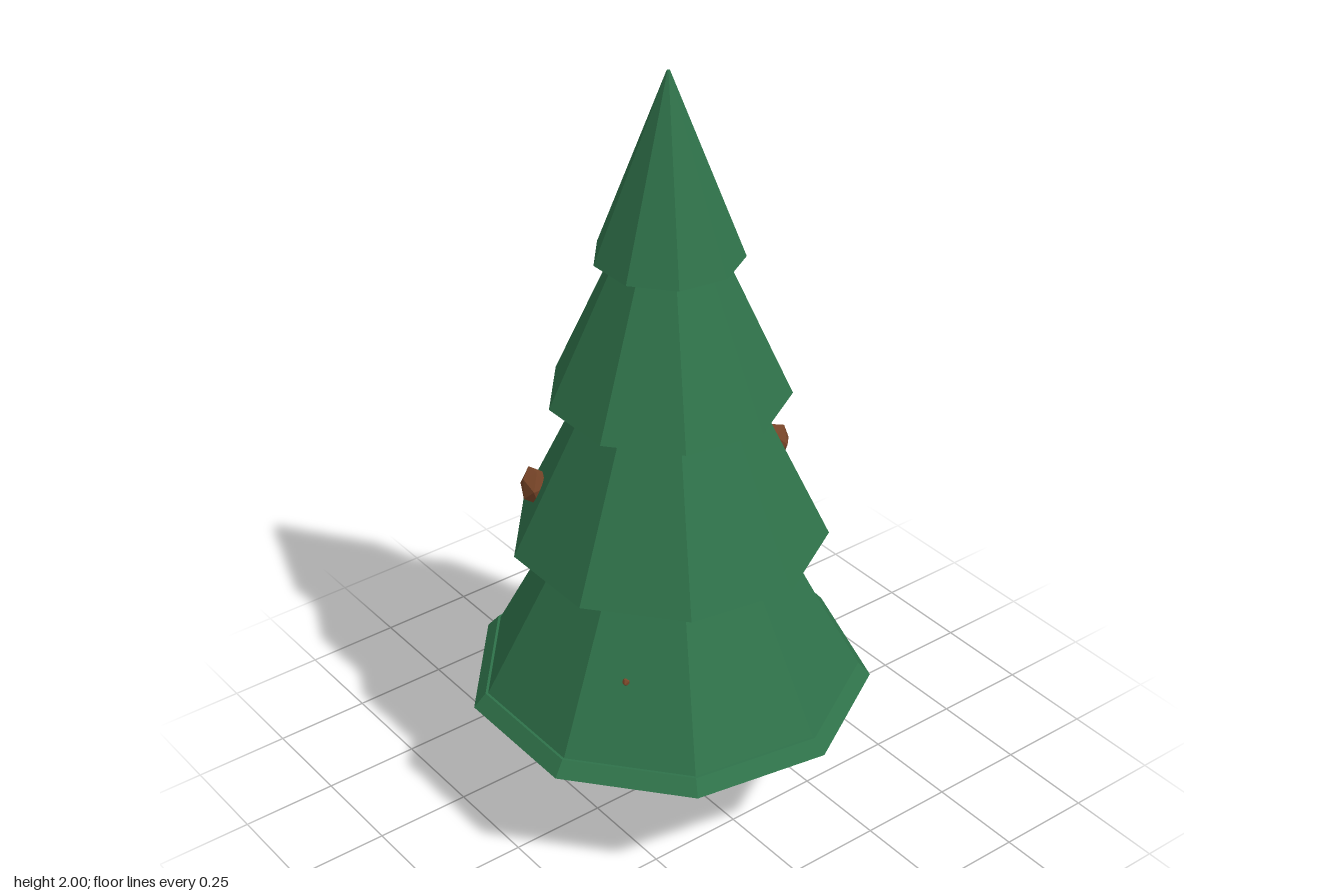
import * as THREE from 'three';

const SIDES = 9;
const CENTRE_Z = 0.015;

export function createModel() {
  const tree = new THREE.Group();
  tree.name = 'pineTree';

  const material = (name, color) => {
    const m = new THREE.MeshStandardMaterial({ color, flatShading: true });
    m.name = name;
    return m;
  };
  const needleGreen = material('needleGreen', 0x2f724a);
  const barkBrown = material('barkBrown', 0x5a3a20);
  const coneBrown = material('coneBrown', 0x794629);

  // Upright tapered prism between two heights
  const frustum = (name, y0, r0, y1, r1, sides, start, mat) => {
    const geo = new THREE.CylinderGeometry(r1, r0, y1 - y0, sides, 1, false, start);
    const mesh = new THREE.Mesh(geo, mat);
    mesh.name = name;
    mesh.position.set(0, (y0 + y1) / 2, CENTRE_Z);
    tree.add(mesh);
  };

  // Trunk
  frustum('trunk', 0, 0.076, 0.4, 0.057, 8, Math.PI / 8, barkBrown);

  // Flared rim under the lowest branches
  frustum('branchRim', 0.34, 0.515, 0.377, 0.484, SIDES, Math.PI, needleGreen);

  // Branch tiers: bottom height, bottom radius, top height, top radius
  [
    [0.35, 0.491, 0.95, 0.182],
    [0.775, 0.396, 1.3, 0.147],
    [1.175, 0.297, 1.65, 0.083],
    [1.54, 0.181, 2.0, 0.004],
  ].forEach(([y0, r0, y1, r1], i) => {
    frustum('branchTier' + (i + 1), y0, r0, y1, r1, SIDES, Math.PI, needleGreen);
  });

  // Pine cones: position and radius; the small ones are tips poking out of the branches
  const coneGeo = new THREE.IcosahedronGeometry(1, 0);
  [
    [-0.2, 0.907, 0.28, 0.034],
    [0.004, 0.907, -0.325, 0.034],
    [0.205, 0.56, 0.303, 0.013],
    [-0.325, 0.585, -0.137, 0.01],
  ].forEach(([x, y, z, r], i) => {
    const cone = new THREE.Mesh(coneGeo, coneBrown);
    cone.name = 'pineCone' + (i + 1);
    cone.position.set(x, y, z);
    cone.scale.set(r, r * (i < 2 ? 1.6 : 1), r);
    cone.rotation.y = i * 0.8;
    tree.add(cone);
  });

  return tree;
}
